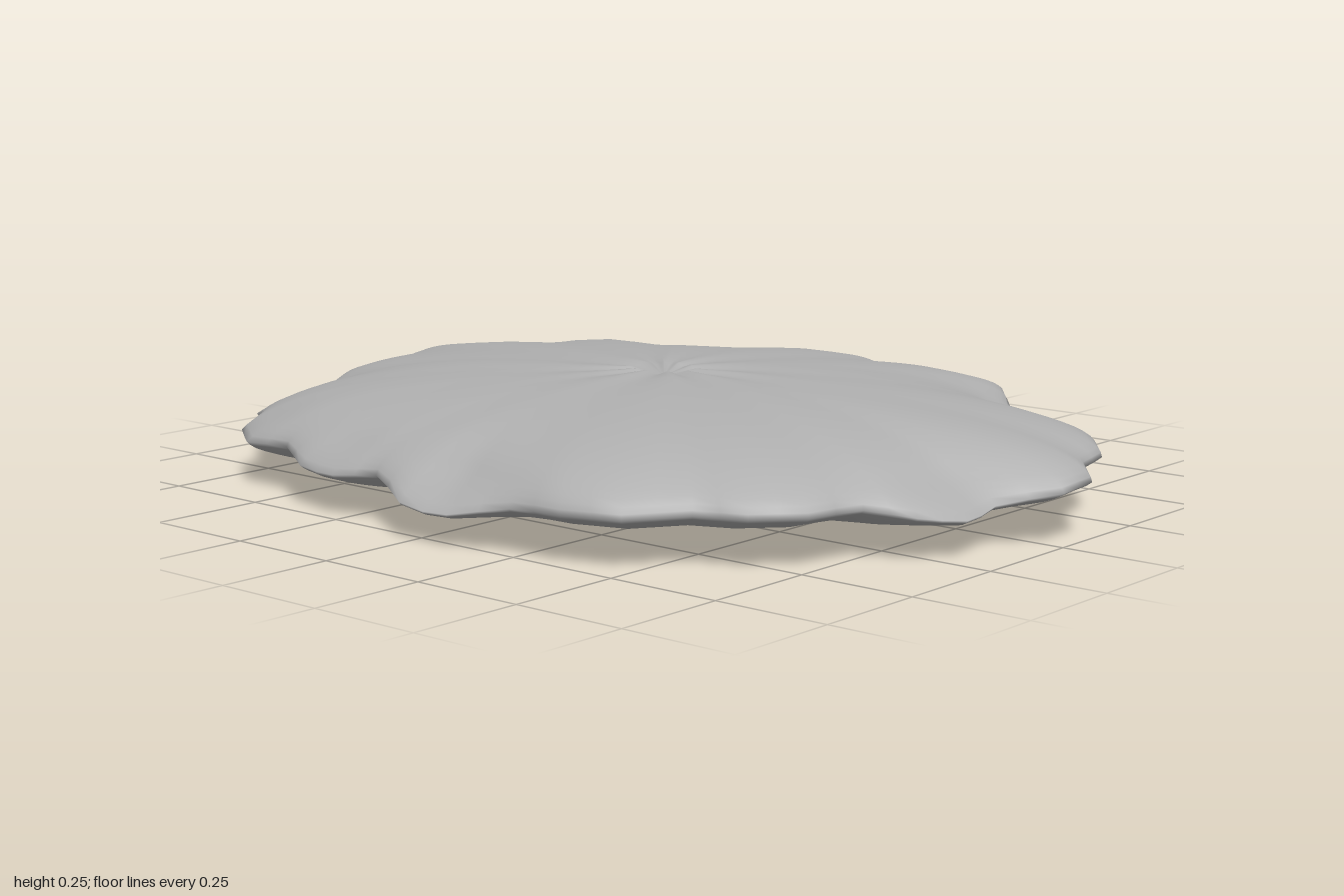
import * as THREE from 'three';

// Scalloped rim seen from above: x, z pairs, running from +x towards -z
const OUTLINE = [
  1, 0, 1, -.1, .92, -.2, .9, -.3, .83, -.39, .68, -.47, .64, -.53, .57, -.6, .45, -.65, .37, -.74,
  .25, -.79, .11, -.76, -.02, -.8, -.15, -.79, -.29, -.69, -.49, -.64, -.56, -.59, -.73, -.56,
  -.82, -.49, -.86, -.39, -.95, -.3, -1, -.2, -.96, -.09, -.96, 0, -.95, .1, -.91, .2, -.94, .31,
  -.89, .41, -.78, .49, -.74, .58, -.64, .65, -.5, .66, -.39, .72, -.27, .74, -.16, .72, -.02, .79,
  .11, .79, .24, .75, .37, .75, .49, .71, .57, .6, .67, .56, .75, .48, .78, .35, .87, .3, .92, .21, .91, .1,
];
// Places where the rim sags: x, z, strength
const SAGS = [
  [.06, .79, 1], [.58, -.59, 1], [.9, .18, .9], [-.92, .33, 1],
  [-.5, -.63, .6], [-.85, -.42, .6], [.14, -.77, .4], [-.68, .62, .5], [-.33, .73, .6],
];
const CENTRE_X = -.02, TOP = .247, MID = .117, STEPS = 2, RINGS = 40;

// Rim points with a sag value between 0 and 1
function rimPoints() {
  const rim = [], n = OUTLINE.length / 2;
  for (let i = 0; i < n; i++) {
    for (let s = 0; s < STEPS; s++) {
      const k = (i + 1) % n, t = s / STEPS;
      const x = THREE.MathUtils.lerp(OUTLINE[2 * i], OUTLINE[2 * k], t);
      const z = THREE.MathUtils.lerp(OUTLINE[2 * i + 1], OUTLINE[2 * k + 1], t);
      let sag = 0;
      for (const [sx, sz, w] of SAGS) {
        sag = Math.max(sag, w * Math.exp(-((x - sx) ** 2 + (z - sz) ** 2) / .022));
      }
      const y = MID + .005 - .01 * x - .025 * z - .035 * sag;
      rim.push({ x: x - CENTRE_X, z, sag, y, angle: Math.atan2(z, x - CENTRE_X) });
    }
  }
  return rim;
}

// Flattened pebble: rings from the top pole over the rim to the bottom pole
function pebbleGeometry() {
  const rim = rimPoints(), n = rim.length, pos = [], index = [];
  pos.push(CENTRE_X, TOP - .022, 0);
  for (let r = 1; r < RINGS; r++) {
    const phi = Math.PI * r / RINGS, c = Math.cos(phi), s = Math.sin(phi), side = Math.sign(c);
    for (const p of rim) {
      // the shell draws in above a sagging rim and below a raised one
      const draw = (c > 0 ? .1 * p.sag : .04 * (1 - p.sag)) * Math.min(1, Math.abs(c) * 3) * s * s;
      const rad = s * (1 - draw);
      const pole = c > 0 ? TOP : 0;
      // rim waves die out towards the middle
      const edgeY = MID + (p.y - MID) * s ** 4;
      let y = edgeY + (pole - edgeY) * Math.abs(c);
      // swirled folds that fade away from the poles, and a small dimple
      const fold = Math.sin(10 * p.angle - 4 * rad + 1.2 * Math.sin(3 * p.angle));
      const swell = Math.sin(5 * p.angle - 5 * rad + 1);
      y -= side * (.006 * (1 - fold) * Math.exp(-rad * 5)
        + .012 * Math.exp(-((rad / .04) ** 2))
        + .002 * (1 - swell) * rad * Math.abs(c));
      pos.push(CENTRE_X + p.x * rad, Math.max(0, y), p.z * rad);
    }
  }
  const last = pos.length / 3;
  pos.push(CENTRE_X, .022, 0);
  const at = (r, j) => 1 + (r - 1) * n + j % n;
  for (let j = 0; j < n; j++) {
    index.push(0, at(1, j), at(1, j + 1), last, at(RINGS - 1, j + 1), at(RINGS - 1, j));
    for (let r = 1; r < RINGS - 1; r++) {
      index.push(at(r, j), at(r + 1, j), at(r + 1, j + 1), at(r, j), at(r + 1, j + 1), at(r, j + 1));
    }
  }
  const g = new THREE.BufferGeometry();
  g.setAttribute('position', new THREE.Float32BufferAttribute(pos, 3));
  g.setIndex(index);
  g.computeVertexNormals();
  return g;
}

export function createModel() {
  const stone = new THREE.MeshStandardMaterial({ color: 0xb0b0b0 });
  stone.name = 'stone grey';
  const pebble = new THREE.Mesh(pebbleGeometry(), stone);
  pebble.name = 'flatStone';
  const group = new THREE.Group();
  group.name = 'steppingStone';
  group.add(pebble);
  return group;
}
